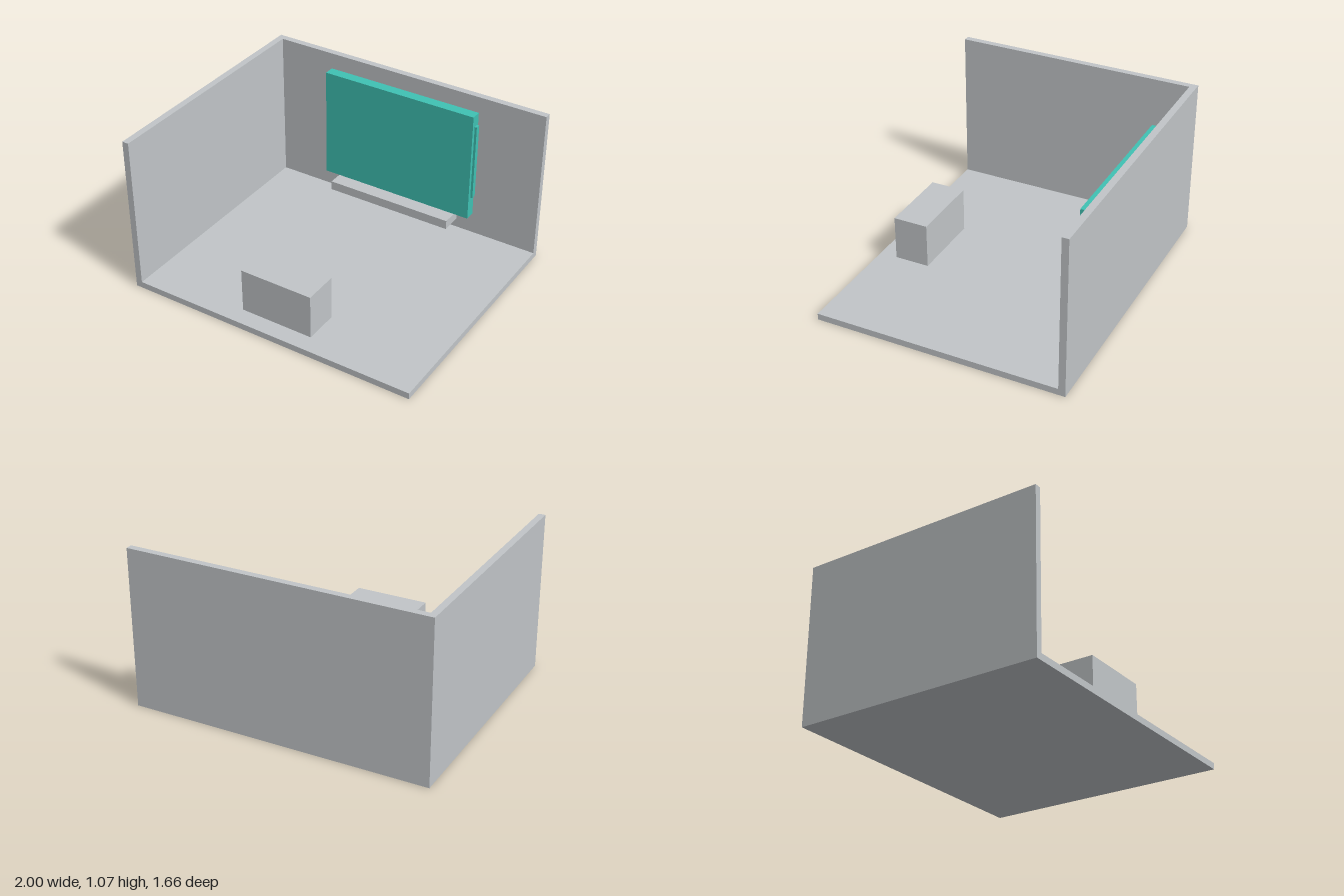
import * as THREE from 'three';

export function createModel() {
  const model = new THREE.Group();
  model.name = 'roomWithScreen';

  const grey = new THREE.MeshStandardMaterial({ color: 0xc1c5c8 });
  grey.name = 'light grey';
  const teal = new THREE.MeshStandardMaterial({ color: 0x3fc1b3 });
  teal.name = 'teal';

  // Box given by its lower and upper limits on each axis
  function block(name, material, [x0, x1], [y0, y1], [z0, z1]) {
    const mesh = new THREE.Mesh(new THREE.BoxGeometry(x1 - x0, y1 - y0, z1 - z0), material);
    mesh.position.set((x0 + x1) / 2, (y0 + y1) / 2, (z0 + z1) / 2);
    mesh.name = name;
    model.add(mesh);
  }

  // Room shell: floor, back wall and one side wall
  block('floor', grey, [-1, 1], [0, 0.043], [-0.831, 0.831]);
  block('backWall', grey, [-1, 1], [0.043, 1.068], [-0.831, -0.786]);
  block('sideWall', grey, [-1, -0.956], [0.043, 1.068], [-0.786, 0.831]);

  // Free-standing block near the front
  block('bench', grey, [-0.25, 0.25], [0.043, 0.342], [0.482, 0.714]);

  // Shelf just below the screen
  block('shelf', grey, [-0.447, 0.447], [0.137, 0.2], [-0.745, -0.6]);

  // Screen panel with a thin back plate and a strip on each side
  block('screen', teal, [-0.55, 0.55], [0.202, 0.968], [-0.768, -0.697]);
  block('screenBackPlate', teal, [-0.5, 0.5], [0.38, 0.855], [-0.773, -0.768]);
  for (const [name, side] of [['leftStrip', 1], ['rightStrip', -1]]) {
    const x = [side * 0.55, side * 0.565].sort((a, b) => a - b);
    block(name, teal, x, [0.355, 0.887], [-0.755, -0.722]);
  }

  return model;
}
